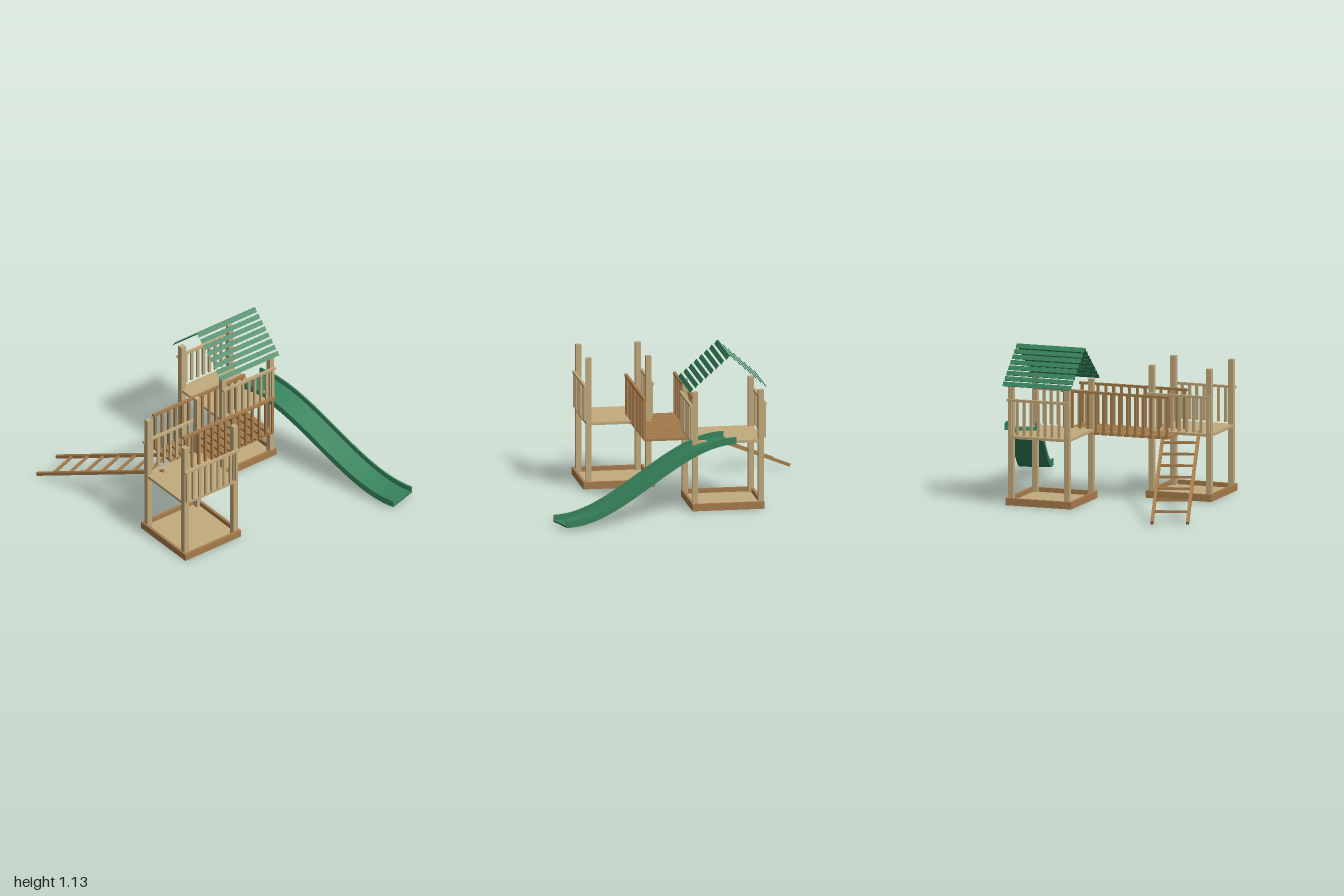
import * as THREE from 'three';
import { toCreasedNormals } from 'three/addons/utils/BufferGeometryUtils.js';

function material(name, color) {
  const m = new THREE.MeshStandardMaterial({ color });
  m.name = name;
  return m;
}

export function createModel() {
  const paleWood = material('pale wood', 0xc2aa7c);
  const brownWood = material('brown wood', 0xa67c4b);
  const green = material('green', 0x34815a);
  const model = new THREE.Group();
  model.name = 'playground';

  const group = (name) => {
    const g = new THREE.Group();
    g.name = name;
    model.add(g);
    return g;
  };
  const add = (parent, name, geometry, mat) => {
    const mesh = new THREE.Mesh(geometry, mat);
    mesh.name = name;
    parent.add(mesh);
    return mesh;
  };
  // Box given by its low and high corners
  const box = (parent, name, mat, x0, x1, y0, y1, z0, z1) => {
    const mesh = add(parent, name, new THREE.BoxGeometry(x1 - x0, y1 - y0, z1 - z0), mat);
    mesh.position.set((x0 + x1) / 2, (y0 + y1) / 2, (z0 + z1) / 2);
    return mesh;
  };
  // Square bar between two points
  const bar = (parent, name, mat, a, b, size) => {
    const mesh = add(parent, name, new THREE.BoxGeometry(size, size, a.distanceTo(b)), mat);
    mesh.position.lerpVectors(a, b, 0.5);
    mesh.lookAt(b);
    return mesh;
  };
  // Railing along x: top rail and evenly spaced balusters
  const railing = (parent, name, mat, x0, x1, y0, y1, z, count, w, depth) => {
    const g = new THREE.Group();
    g.name = name;
    parent.add(g);
    box(g, 'topRail', mat, x0, x1, y1 - 0.018, y1, z - depth / 2, z + depth / 2);
    for (let i = 0; i < count; i++) {
      const x = x0 + 0.012 + w / 2 + (x1 - x0 - 0.024 - w) * i / (count - 1);
      box(g, 'baluster', mat, x - w / 2, x + w / 2, y0, y1 - 0.018, z - depth * 0.38, z + depth * 0.38);
    }
  };

  // Towers: base tray, four posts, deck, front and back railings
  const tower = (name, t) => {
    const g = group(name);
    const { x0, x1, z0, z1, px, pz, top, deck, railTop } = t;
    box(g, 'baseFloor', paleWood, x0 + 0.015, x1 - 0.015, 0.002, 0.02, z0 + 0.015, z1 - 0.015);
    box(g, 'baseBoard', brownWood, x0, x1, 0, 0.052, z1 - 0.02, z1);
    box(g, 'baseBoard', brownWood, x0, x1, 0, 0.052, z0, z0 + 0.02);
    box(g, 'baseBoard', brownWood, x0, x0 + 0.02, 0, 0.052, z0 + 0.02, z1 - 0.02);
    box(g, 'baseBoard', brownWood, x1 - 0.02, x1, 0, 0.052, z0 + 0.02, z1 - 0.02);
    for (const x of px) {
      for (const z of pz) {
        box(g, 'post', paleWood, x - 0.0195, x + 0.0195, 0.01, top, z - 0.02, z + 0.02);
      }
    }
    box(g, 'deck', paleWood, px[0] - 0.018, px[1] + 0.018, deck - 0.02, deck, pz[0] - 0.018, pz[1] + 0.018);
    railing(g, 'frontRailing', paleWood, px[0] - 0.022, px[1] + 0.022, deck + 0.01, railTop, pz[1] + 0.028, 9, 0.02, 0.02);
    railing(g, 'backRailing', paleWood, px[0] - 0.022, px[1] + 0.022, deck + 0.01, railTop, pz[0] - 0.028, 9, 0.02, 0.02);
  };
  tower('openTower', {
    x0: -0.792, x1: -0.287, z0: 0.066, z1: 0.588, px: [-0.762, -0.318], pz: [0.112, 0.545],
    top: 0.96, deck: 0.487, railTop: 0.763,
  });
  tower('roofedTower', {
    x0: 0.031, x1: 0.535, z0: -0.59, z1: -0.067, px: [0.067, 0.497], pz: [-0.569, -0.091],
    top: 0.87, deck: 0.506, railTop: 0.777,
  });

  // Roof: two slopes of thin open-ended slats
  const roof = group('roof');
  const slat = new THREE.BoxGeometry(0.527, 0.006, 0.034);
  slat.setIndex(Array.from(slat.index.array).slice(12)); // drop the end caps
  slat.clearGroups();
  for (const side of [1, -1]) {
    for (let i = 0; i < 8; i++) {
      const mesh = add(roof, 'roofSlat', slat, green);
      mesh.position.set(0.283, 1.119 - 0.0333 * i, -0.336 + side * (0.0125 + 0.0374 * i));
      mesh.rotation.x = side * 0.96;
    }
  }

  // Bridge: cross planks with a railing on each side
  const bridge = group('bridge');
  for (let i = 0; i < 14; i++) {
    const x = -0.507 + 0.0585 * i;
    box(bridge, 'plank', brownWood, x - 0.0225, x + 0.0225, 0.467, 0.484, -0.117, 0.237);
  }
  for (const z of [-0.117, 0.236]) {
    railing(bridge, 'bridgeRailing', brownWood, -0.543, 0.287, 0.47, 0.782, z, 14, 0.018, 0.021);
  }

  // Ladder: two leaning rails and seven rungs
  const ladder = group('ladder');
  const left = [new THREE.Vector3(-0.985, 0.016, -0.903), new THREE.Vector3(-0.66, 0.492, 0.163)];
  const right = [new THREE.Vector3(-0.745, 0.016, -0.988), new THREE.Vector3(-0.42, 0.492, 0.078)];
  for (const [a, b] of [left, right]) bar(ladder, 'ladderRail', brownWood, a, b, 0.023);
  for (let k = 1; k < 8; k++) {
    const a = left[0].clone().lerp(left[1], k / 8);
    const b = right[0].clone().lerp(right[1], k / 8);
    bar(ladder, 'rung', brownWood, a, b, 0.017);
  }

  // Slide: an S-shaped floor with two side walls
  const slide = group('slide');
  const length = 1.348;
  const band = (height, depth) => {
    const low = [];
    for (let i = 0; i <= 28; i++) {
      const s = length * i / 28;
      low.push([s, 0.505 - 0.484 * THREE.MathUtils.smoothstep(s, 0.04, 1.305)]);
    }
    const high = low.map(([s, y]) => [s, y + height]).reverse();
    const shape = new THREE.Shape([...low, ...high].map(([s, y]) => new THREE.Vector2(s, y)));
    return toCreasedNormals(new THREE.ExtrudeGeometry(shape, { depth, bevelEnabled: false }), 0.6);
  };
  const wall = band(0.05, 0.012);
  add(slide, 'slideFloor', band(0.012, 0.23), green);
  add(slide, 'slideWall', wall, green);
  add(slide, 'slideWall', wall, green).position.z = 0.218;
  slide.position.set(0.626, 0, -0.372);
  slide.rotation.y = -1.289;

  return model;
}
